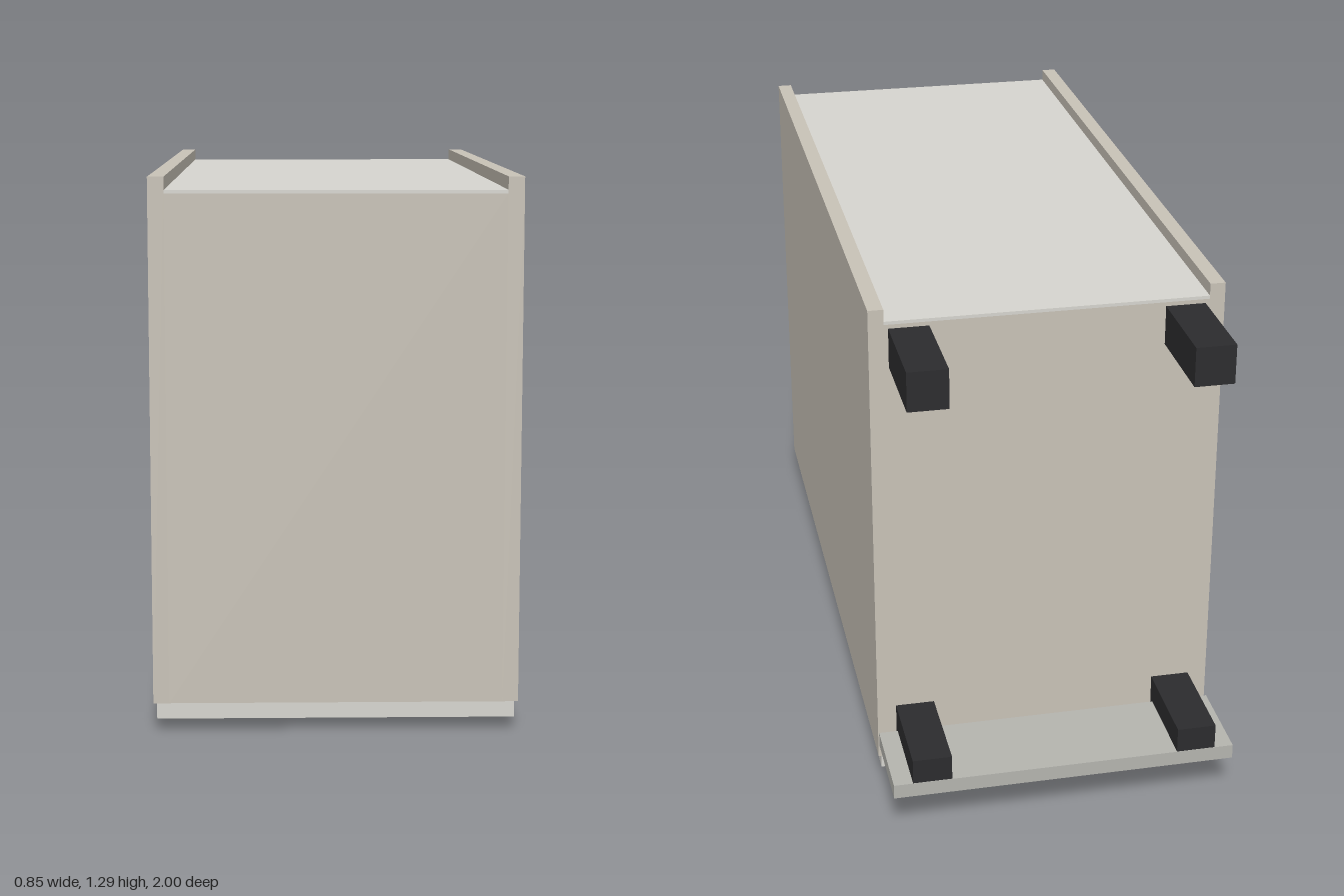
import * as THREE from 'three';

const material = (color) => new THREE.MeshStandardMaterial({ color });

// Drawer cabinet lying on its drawer fronts, feet towards -z
export function createModel() {
  const group = new THREE.Group();
  const carcass = material(0xc8c2b7);
  const panel = material(0xd6d5cf);
  const plinthGrey = material(0xb4b4ae);
  const metal = material(0x818186);
  const black = material(0x2c2c2e);

  // Box given by its extents on each axis
  const box = (name, mat, [x0, x1], [y0, y1], [z0, z1]) => {
    const mesh = new THREE.Mesh(new THREE.BoxGeometry(x1 - x0, y1 - y0, z1 - z0), mat);
    mesh.position.set((x0 + x1) / 2, (y0 + y1) / 2, (z0 + z1) / 2);
    mesh.name = name;
    group.add(mesh);
  };

  // Carcass: side walls stand proud of the recessed back panel
  const inner = [-0.388, 0.388];
  box('leftSide', carcass, [0.388, 0.425], [0.07, 1.29], [-0.755, 1]);
  box('rightSide', carcass, [-0.425, -0.388], [0.07, 1.29], [-0.755, 1]);
  box('cabinetTop', carcass, inner, [0.07, 1.252], [0.963, 1]);
  box('cabinetBottom', carcass, inner, [0.07, 1.252], [-0.755, -0.718]);
  box('backPanel', panel, inner, [1.252, 1.26], [-0.755, 1]);

  // Drawer fronts, each with a bar handle
  const drawers = [
    [0.73, 0.99, 0.862],
    [0.457, 0.718, 0.586],
    [-0.086, 0.445, 0.18],
    [-0.745, -0.096, -0.276],
  ];
  drawers.forEach(([z0, z1, handleZ], i) => {
    box(`drawerFront${i + 1}`, panel, [-0.417, 0.417], [0.03, 0.07], [z0, z1]);
    box(`handle${i + 1}`, metal, [-0.117, 0.117], [0, 0.03], [handleZ - 0.014, handleZ + 0.014]);
  });

  // Four square feet
  for (const side of [-1, 1]) {
    const x = [side * 0.33 - 0.048, side * 0.33 + 0.048];
    box('rearFoot', black, x, [1.145, 1.242], [-1, -0.755]);
    box('frontFoot', black, x, [0.12, 0.216], [-0.999, -0.755]);
  }

  // Plinth board across the front feet
  box('plinth', plinthGrey, [-0.425, 0.425], [0.115, 0.152], [-1, -0.773]);

  return group;
}
